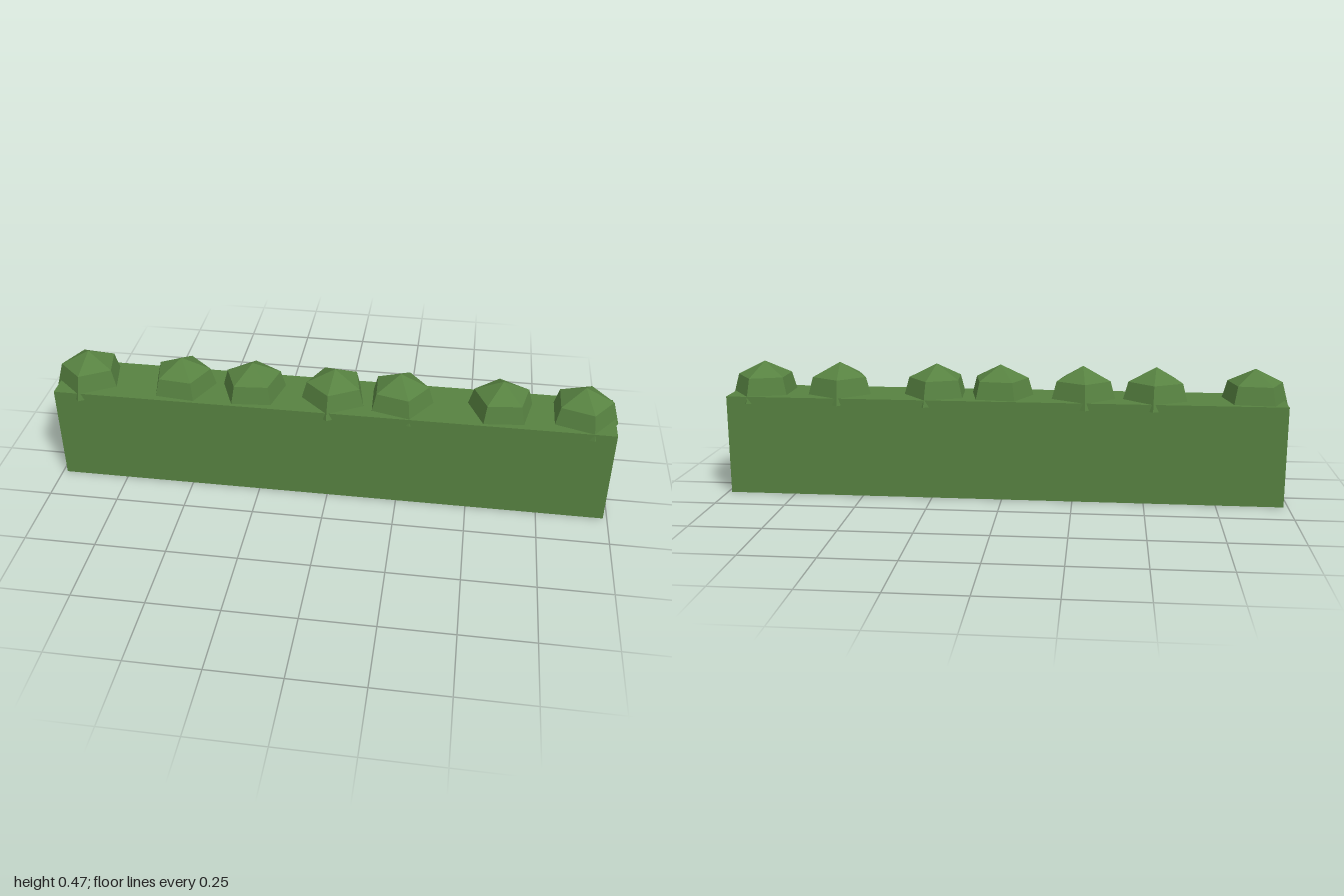
import * as THREE from 'three';

const LENGTH = 1.97, HEIGHT = 0.355, DEPTH = 0.226;

// Position along the hedge and direction of one corner (degrees from +x towards +z)
const TUFTS = [
  [-0.88, 96], [-0.537, -84], [-0.28, -95], [0.013, 97],
  [0.243, 69], [0.596, -96], [0.874, 0],
];

export function createModel() {
  const model = new THREE.Group();
  model.name = 'hedge';
  const leafGreen = new THREE.MeshStandardMaterial({
    color: 0x578241, flatShading: true, side: THREE.DoubleSide,
  });
  leafGreen.name = 'leafGreen';

  // Hedge body: a box left open underneath (the fourth side is the bottom)
  const bodyGeometry = new THREE.BoxGeometry(LENGTH, HEIGHT, DEPTH);
  const index = Array.from(bodyGeometry.index.array);
  index.splice(18, 6);
  bodyGeometry.setIndex(index);
  bodyGeometry.clearGroups();
  const body = new THREE.Mesh(bodyGeometry, leafGreen);
  body.name = 'hedgeBody';
  body.position.set(0.001, HEIGHT / 2, 0);
  model.add(body);

  // Leafy tufts: five-sided domes sunk slightly into the top
  const profile = [[0.125, 0.33], [0.1, 0.417], [0, 0.467]]
    .map(([r, y]) => new THREE.Vector2(r, y));
  const tuftGeometry = new THREE.LatheGeometry(profile, 5);
  TUFTS.forEach(([x, angle], i) => {
    const tuft = new THREE.Mesh(tuftGeometry, leafGreen);
    tuft.name = `leafTuft${i + 1}`;
    tuft.position.x = x;
    tuft.rotation.y = THREE.MathUtils.degToRad(90 - angle);
    model.add(tuft);
  });

  return model;
}
